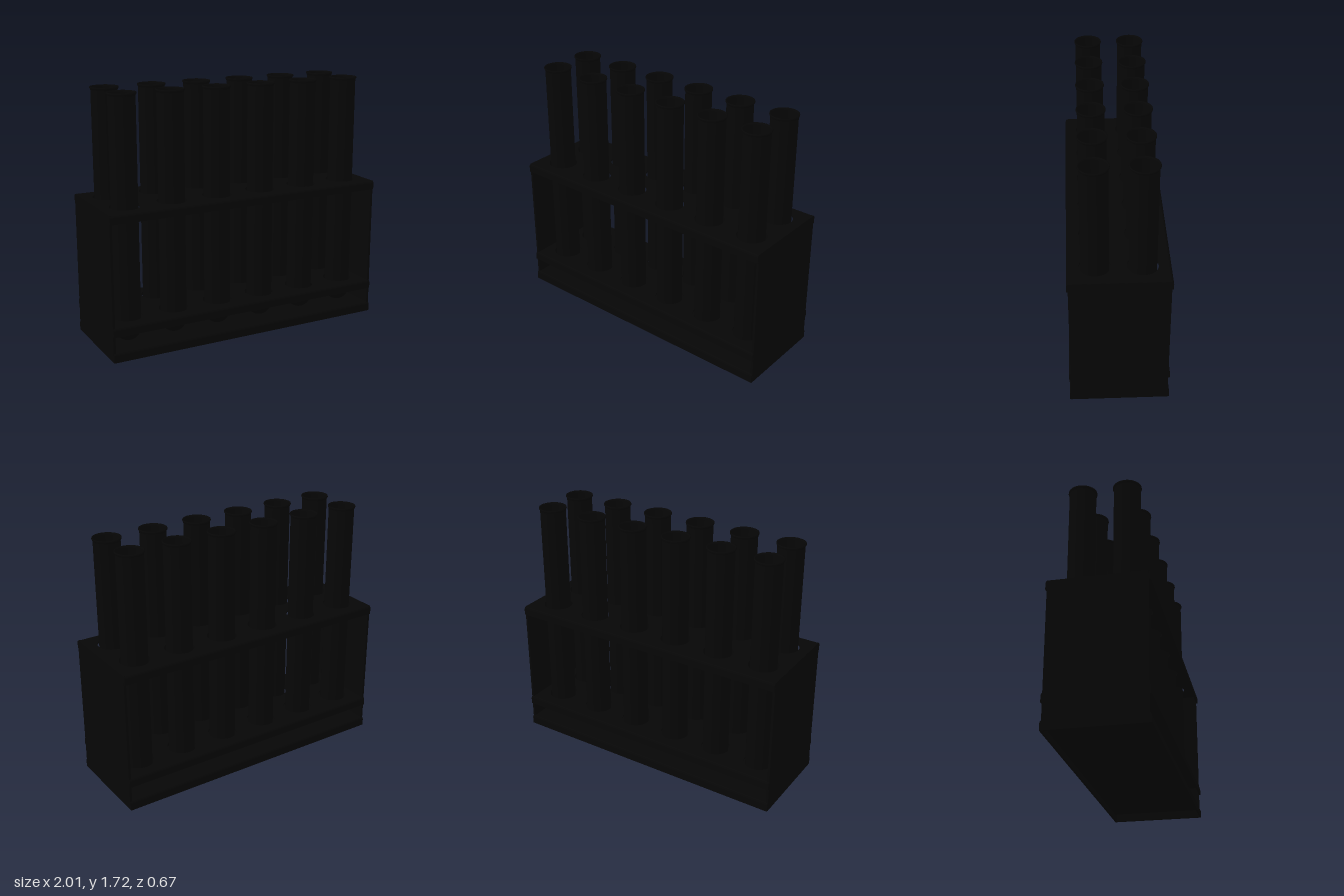
import * as THREE from 'three';

const HALF_X = 0.999, HALF_Z = 0.327;
const SHEET = 0.01, BEND = 0.02;          // sheet thickness and outer bend radius
const FLAT_Z = HALF_Z - BEND;             // half width of the flat part of a shelf
const TUBE_R = 0.088, BORE_R = 0.082, HOLE_R = 0.099;
const columns = [-0.83, -0.498, -0.166, 0.166, 0.498, 0.83];
const rows = [-0.149, 0.149];

export function createModel() {
  const black = new THREE.MeshStandardMaterial({ color: 0x060606 });
  black.name = 'matte black';
  const tubeBlack = new THREE.MeshStandardMaterial({ color: 0x060606, side: THREE.DoubleSide });
  tubeBlack.name = 'tube black';

  const rack = new THREE.Group();
  rack.name = 'testTubeRack';

  const add = (parent, name, geometry, material = black) => {
    const mesh = new THREE.Mesh(geometry, material);
    mesh.name = name;
    parent.add(mesh);
    return mesh;
  };

  // Bent sheet shelf: thin flat top, optionally drilled, with lips folded down front and back
  const addShelf = (name, bottom, height, drilled) => {
    const shelf = new THREE.Group();
    shelf.name = name;
    shelf.position.y = bottom;
    rack.add(shelf);

    const outline = new THREE.Shape();
    outline.moveTo(-HALF_X, -FLAT_Z);
    outline.lineTo(HALF_X, -FLAT_Z);
    outline.lineTo(HALF_X, FLAT_Z);
    outline.lineTo(-HALF_X, FLAT_Z);
    outline.closePath();
    if (drilled) {
      for (const x of columns) for (const z of rows) {
        const hole = new THREE.Path();
        hole.absarc(x, z, HOLE_R, 0, Math.PI * 2, true);
        outline.holes.push(hole);
      }
    }
    const sheet = new THREE.ExtrudeGeometry(outline, { depth: SHEET, bevelEnabled: false, curveSegments: 32 });
    sheet.rotateX(-Math.PI / 2);
    sheet.translate(0, height - SHEET, 0);
    add(shelf, name + 'Sheet', sheet);

    // Lip: rounded bend running into a straight drop
    const lip = new THREE.Shape();
    lip.moveTo(BEND - SHEET, 0);
    lip.lineTo(BEND, 0);
    lip.lineTo(BEND, height - BEND);
    lip.absarc(0, height - BEND, BEND, 0, Math.PI / 2, false);
    lip.lineTo(0, height - SHEET);
    lip.absarc(0, height - BEND, BEND - SHEET, Math.PI / 2, 0, true);
    lip.closePath();
    for (const side of [1, -1]) {
      const strip = new THREE.ExtrudeGeometry(lip, { depth: HALF_X * 2, bevelEnabled: false, curveSegments: 6 });
      strip.translate(0, 0, -HALF_X);
      strip.rotateY(-Math.PI / 2);
      strip.translate(0, 0, FLAT_Z);
      if (side < 0) strip.rotateY(Math.PI);
      add(shelf, side > 0 ? 'frontLip' : 'backLip', strip);
    }
  };

  addShelf('base', 0, 0.065, false);
  addShelf('middleShelf', 0.175, 0.06, true);
  addShelf('topShelf', 0.92, 0.06, true);

  // End panels, fitting between the lips
  for (const side of [1, -1]) {
    const panel = add(rack, side > 0 ? 'leftPanel' : 'rightPanel',
      new THREE.BoxGeometry(0.016, 0.979, (HALF_Z - SHEET) * 2));
    panel.position.set(side * 0.992, 0.4895, 0);
  }

  // Open tube: round bottom, straight wall, flared lip, inner wall
  const profile = [];
  const centre = 0.07 + TUBE_R;
  const bowlPoint = (radius, i) => {
    const a = (i / 10) * Math.PI / 2;
    profile.push(new THREE.Vector2(radius * Math.sin(a), centre - radius * Math.cos(a)));
  };
  for (let i = 0; i <= 10; i++) bowlPoint(TUBE_R, i);
  profile.push(
    new THREE.Vector2(TUBE_R, 1.692),
    new THREE.Vector2(0.091, 1.7),
    new THREE.Vector2(0.095, 1.706),
    new THREE.Vector2(0.094, 1.714),
    new THREE.Vector2(0.088, 1.715),
    new THREE.Vector2(BORE_R, 1.7)
  );
  for (let i = 10; i >= 0; i--) bowlPoint(BORE_R, i);
  const tubeGeometry = new THREE.LatheGeometry(profile, 32);

  const tubes = new THREE.Group();
  tubes.name = 'testTubes';
  rack.add(tubes);
  for (const z of rows) for (const x of columns) {
    add(tubes, 'testTube', tubeGeometry, tubeBlack).position.set(x, 0, z);
  }

  // The rack stands very slightly turned
  rack.rotation.y = -0.009;
  const model = new THREE.Group();
  model.name = 'model';
  model.add(rack);
  return model;
}
